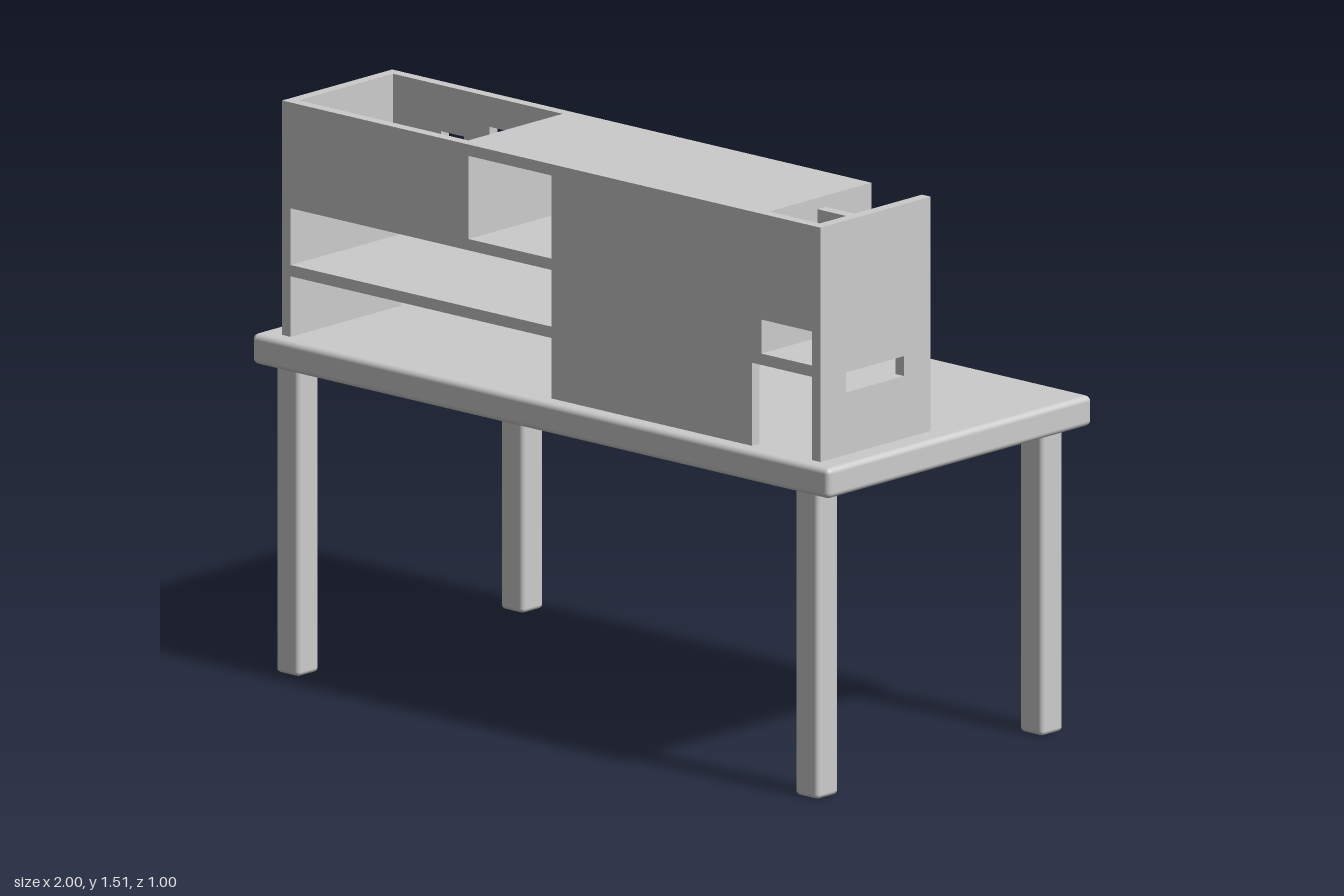
import * as THREE from 'three';
import { RoundedBoxGeometry } from 'three/addons/geometries/RoundedBoxGeometry.js';

const T = 0.03; // board thickness
const X0 = -0.933, X1 = 0.933; // hutch ends
const Z0 = 0.04, Z1 = 0.457; // hutch back and front
const Y0 = 0.89, Y1 = 1.51; // hutch bottom and top

export function createModel() {
  const model = new THREE.Group();
  const material = new THREE.MeshStandardMaterial({ color: 0xcccccc });

  function add(name, geometry, parent) {
    const mesh = new THREE.Mesh(geometry, material);
    mesh.name = name;
    parent.add(mesh);
    return mesh;
  }

  // Box given by its minimum and maximum on each axis
  function board(name, parent, xa, xb, ya, yb, za, zb, radius = 0) {
    const size = [xb - xa, yb - ya, zb - za];
    const geometry = radius
      ? new RoundedBoxGeometry(...size, 3, radius)
      : new THREE.BoxGeometry(...size);
    const mesh = add(name, geometry, parent);
    mesh.position.set((xa + xb) / 2, (ya + yb) / 2, (za + zb) / 2);
    return mesh;
  }

  // Upright panel from an outline, with rectangular holes [ua, ub, va, vb]
  function panel(name, parent, outline, holes = []) {
    const shape = new THREE.Shape(outline.map(([u, v]) => new THREE.Vector2(u, v)));
    for (const [ua, ub, va, vb] of holes) {
      shape.holes.push(new THREE.Path([[ua, va], [ua, vb], [ub, vb], [ub, va]]
        .map(([u, v]) => new THREE.Vector2(u, v))));
    }
    return add(name, new THREE.ExtrudeGeometry(shape, { depth: T, bevelEnabled: false }), parent);
  }
  const rect = (ua, ub, va, vb) => [[ua, va], [ub, va], [ub, vb], [ua, vb]];

  // Table
  const table = new THREE.Group();
  table.name = 'table';
  model.add(table);
  board('tableTop', table, -1, 1, 0.81, 0.89, -0.5, 0.5, 0.015);
  for (const side of [-1, 1]) {
    const x = side * 0.9;
    board('frontLeg', table, x - 0.04, x + 0.04, 0, 0.82, 0.395, 0.475, 0.012);
    board('backLeg', table, x - 0.04, x + 0.04, 0, 0.82, -0.455, -0.375, 0.012);
  }

  // Hutch standing on the front half of the table
  const hutch = new THREE.Group();
  hutch.name = 'hutch';
  model.add(hutch);

  // End panels, the left one with a slot
  board('rightEndPanel', hutch, X0, X0 + T, Y0, Y1, Z0, Z1);
  const leftEnd = panel('leftEndPanel', hutch, rect(-Z1, -Z0, Y0, Y1), [[-0.36, -0.14, 1.055, 1.108]]);
  leftEnd.rotation.y = Math.PI / 2;
  leftEnd.position.x = X1 - T;

  // Shelves, bin floors and roof, running the full depth
  board('lowerShelf', hutch, X0 + T, 0, 1.05, 1.08, Z0, Z1);
  board('upperShelf', hutch, X0 + T, 0, 1.23, 1.26, Z0, Z1);
  board('cubbyShelf', hutch, 0.695, X1 - T, 1.11, 1.14, Z0, Z1);
  board('smallBinFloor', hutch, 0.728, X1 - T, 1.23, 1.26, Z0, Z1);
  board('roof', hutch, -0.315, 0.728, Y1 - T, Y1, Z0, Z1);

  // Upright dividers
  board('binDivider', hutch, -0.315, -0.287, 1.26, Y1 - T, Z0, Z1);
  board('middleDivider', hutch, 0, T, Y0, Y1 - T, Z0, Z1);
  board('cubbyDivider', hutch, 0.695, 0.728, 1.14, Y1 - T, Z0, Z1);
  board('smallBinDivider', hutch, 0.728, X1 - T, 1.26, Y1 - T, 0.212, 0.244);

  // Front panels, the left one cut around the kneehole and cubby
  board('largeBinFront', hutch, X0 + T, -0.315, 1.26, Y1, Z1 - T, Z1);
  panel('frontPanel', hutch, [
    [T, Y0], [0.695, Y0], [0.695, 1.14], [0.728, 1.14], [0.728, 1.23],
    [X1 - T, 1.23], [X1 - T, Y1], [0.728, Y1], [0.728, Y1 - T], [T, Y1 - T],
  ]).position.z = Z1 - T;

  // Back of the large bin with windows stepping down toward the end
  const windows = [];
  for (let i = 0; i < 4; i++) {
    const x = -0.362 - i * 0.167, y = 1.435 - i * 0.042;
    windows.push([x - 0.04, x + 0.04, y - 0.037, y + 0.037]);
  }
  panel('largeBinBack', hutch, rect(X0 + T, -0.315, 1.26, Y1), windows).position.z = Z0;

  // Lower back of the small bin with one window
  panel('smallBinBack', hutch, rect(0.728, X1 - T, 1.26, 1.425),
    [[0.775, 0.85, 1.305, 1.375]]).position.z = Z0;

  return model;
}
